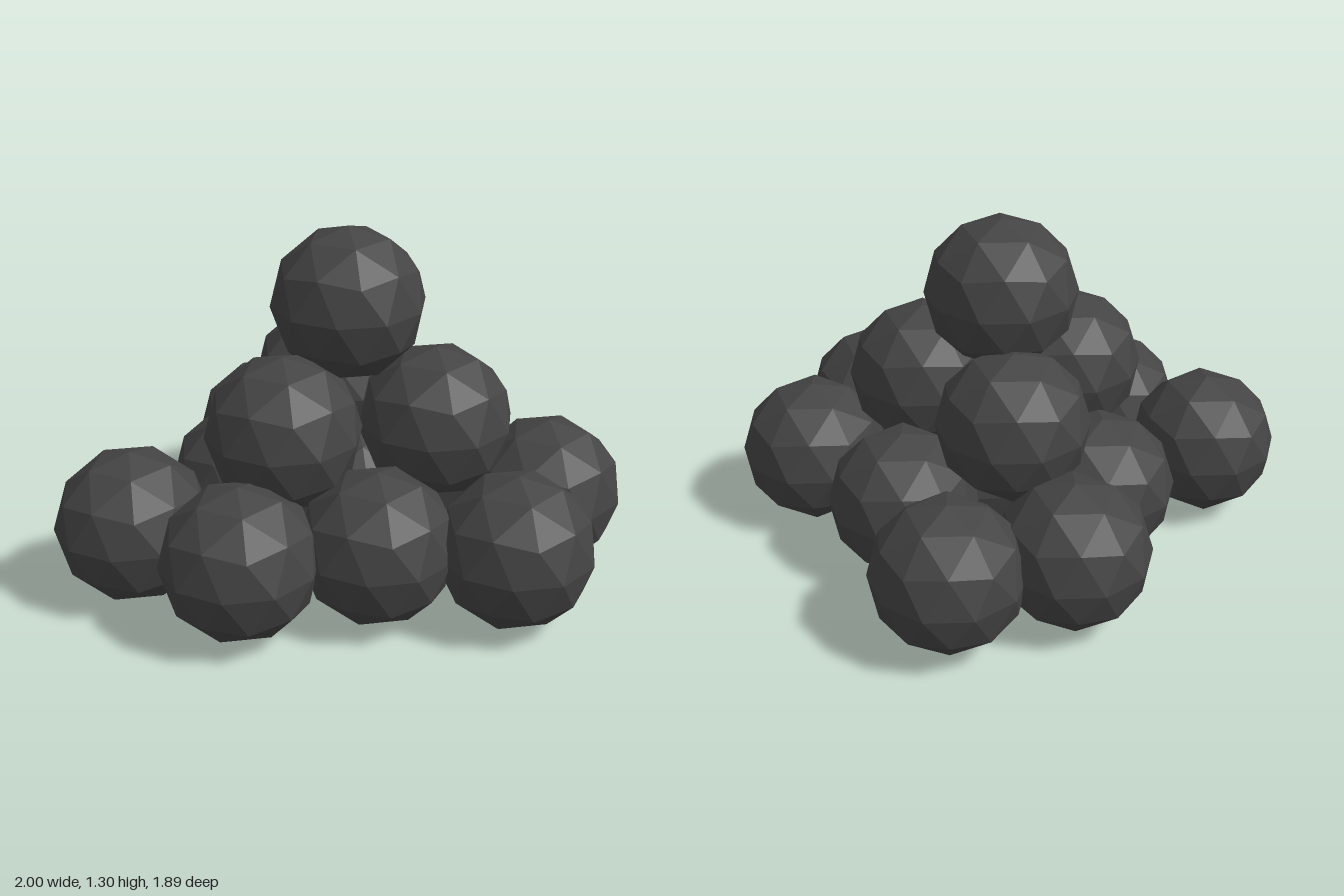
import * as THREE from 'three';

const RADIUS = 0.2825;

// Ball centres, layer by layer: [x, y, z]
const LAYERS = {
  baseBall: [
    [-0.02, 0.2825, -0.667], [-0.408, 0.2825, -0.426], [0.274, 0.2825, -0.276],
    [0.729, 0.2825, -0.025], [-0.408, 0.2825, 0.02], [0.02, 0.2825, 0.07],
    [-0.734, 0.2825, 0.444], [-0.3, 0.2825, 0.656], [0.153, 0.2825, 0.485],
    [0.632, 0.2825, 0.447],
  ],
  middleBall: [[-0.123, 0.627, -0.196], [0.317, 0.61, 0.116], [-0.2, 0.625, 0.33]],
  topBall: [[-0.008, 1.0225, 0.06]],
};

export function createModel() {
  const group = new THREE.Group();
  group.name = 'ballPile';

  // Low-poly ball, tipped so that one corner points straight up
  const ball = new THREE.IcosahedronGeometry(RADIUS, 1);
  ball.rotateZ(-Math.atan(2 / (1 + Math.sqrt(5))));
  const material = new THREE.MeshStandardMaterial({ color: 0x444444, flatShading: true });

  for (const [name, centres] of Object.entries(LAYERS)) {
    centres.forEach((centre, i) => {
      const mesh = new THREE.Mesh(ball, material);
      mesh.name = `${name}${i + 1}`;
      mesh.position.set(...centre);
      group.add(mesh);
    });
  }
  return group;
}
